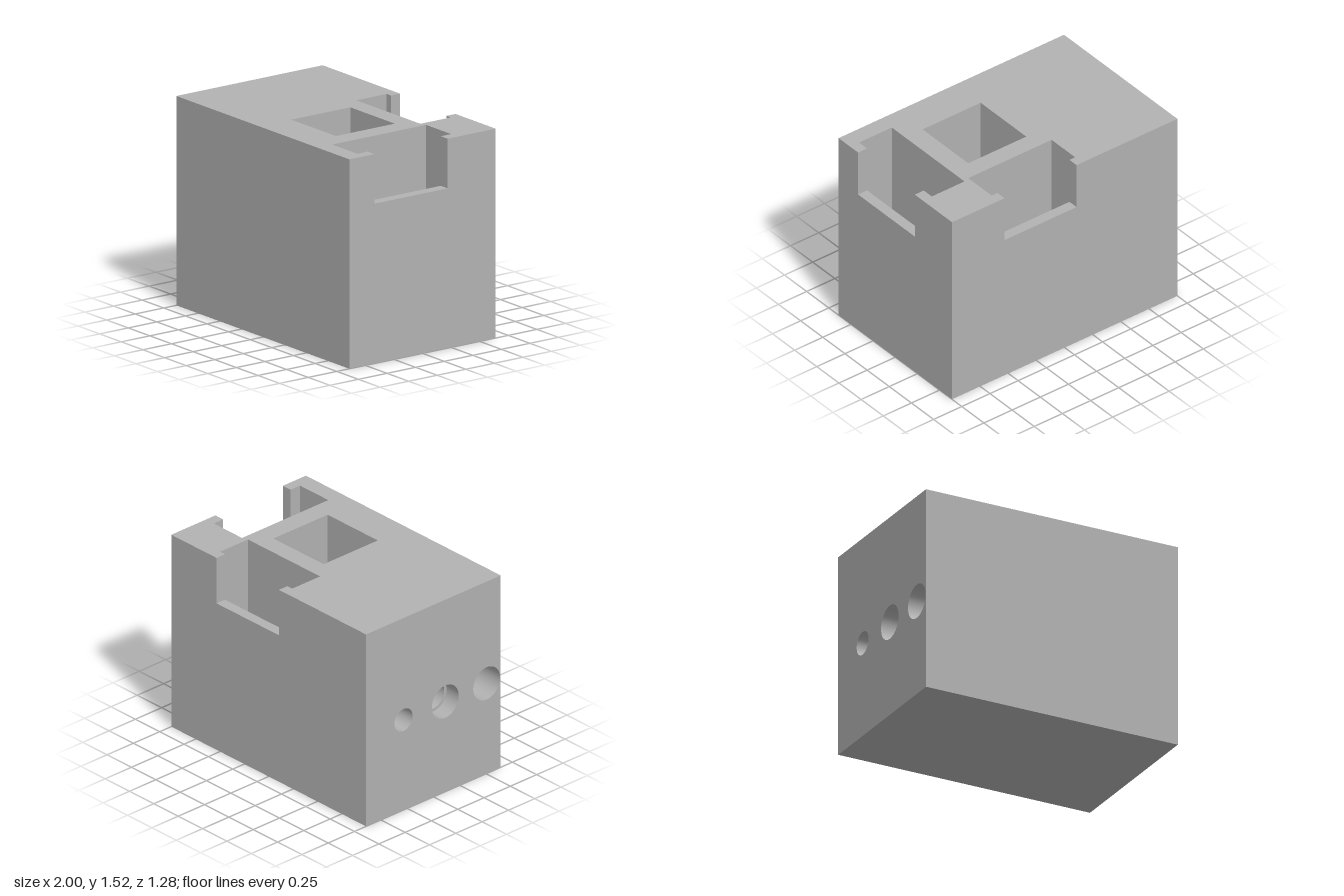
import * as THREE from 'three';

const W = 1, H = 1.52, D = 0.64;      // half width, height, half depth
const SILL = 1.16, FLOOR = 0.4, LIP = 0.08;
const HOLE_Y = 0.713;
const pocket = { x0: -0.04, x1: 0.475, z0: -0.155, z1: 0.36 };

export function createModel() {
  const model = new THREE.Group();
  const grey = new THREE.MeshStandardMaterial({ color: 0xb2b2b2, side: THREE.DoubleSide });

  function add(geometry, name, parent = model) {
    const mesh = new THREE.Mesh(geometry, grey);
    mesh.name = name;
    parent.add(mesh);
    return mesh;
  }

  // Flat panel: outline in (u, v), mapped into space, with optional cut-outs
  function panel(name, points, map, holes = [], parent = model) {
    const shape = new THREE.Shape(points.map(([u, v]) => new THREE.Vector2(u, v)));
    shape.holes.push(...holes);
    const g = new THREE.ShapeGeometry(shape, 24);
    const p = g.attributes.position;
    for (let i = 0; i < p.count; i++) p.setXYZ(i, ...map(p.getX(i), p.getY(i)));
    g.computeVertexNormals();
    return add(g, name, parent);
  }
  const rect = (a, b, c, d) => [[a, c], [b, c], [b, d], [a, d]];
  const circle = (u, v, r) => new THREE.Path().absarc(u, v, r, 0, Math.PI * 2, true);
  // Rectangle with a notch cut down from its top edge
  const notched = (a, b, y0, n0, n1) =>
    [[a, y0], [b, y0], [b, H], [n1, H], [n1, SILL], [n0, SILL], [n0, H], [a, H]];

  // Slots: u runs along the wall, v inward from the outer face
  const backSlot = { name: 'backSlot', u0: -0.155, u1: 0.585, n0: -0.105, n1: 0.535, v1: 0.345,
    map: (u, y, v) => [u, y, -D + v] };
  const sideSlot = { name: 'sideSlot', u0: -0.31, u1: 0.51, n0: -0.22, n1: 0.42, v1: 0.37,
    map: (u, y, v) => [W - v, y, u] };

  // Outer faces
  panel('bottomFace', rect(-W, W, -D, D), (u, v) => [u, 0, v]);
  panel('frontFace', rect(-W, W, 0, H), (u, v) => [u, v, D]);
  panel('backFace', notched(-W, W, 0, backSlot.n0, backSlot.n1), (u, v) => [u, v, -D]);
  panel('leftFace', notched(-D, D, 0, sideSlot.n0, sideSlot.n1), (u, v) => [W, v, u]);

  // Top face, its outline running through both open slots
  const slotOutline = ({ u0, u1, n0, n1, v1, map }) =>
    [[n0, 0], [n0, LIP], [u0, LIP], [u0, v1], [u1, v1], [u1, LIP], [n1, LIP], [n1, 0]]
      .map(([u, v]) => { const q = map(u, 0, v); return [q[0], q[2]]; });
  const square = new THREE.Path(rect(pocket.x0, pocket.x1, pocket.z0, pocket.z1)
    .map(([x, z]) => new THREE.Vector2(x, z)));
  panel('topFace', [[-W, -D], ...slotOutline(backSlot), [W, -D], ...slotOutline(sideSlot),
    [W, D], [-W, D]], (u, v) => [u, H, v], [square]);

  // Slot interiors with notch sill and cheeks
  for (const s of [backSlot, sideSlot]) {
    const g = new THREE.Group();
    g.name = s.name;
    model.add(g);
    const { u0, u1, n0, n1, v1, map } = s;
    panel('innerWall', rect(u0, u1, FLOOR, H), (u, y) => map(u, y, v1), [], g);
    panel('lipWall', notched(u0, u1, FLOOR, n0, n1), (u, y) => map(u, y, LIP), [], g);
    for (const e of [u0, u1])
      panel('endWall', rect(LIP, v1, FLOOR, H), (v, y) => map(e, y, v), [], g);
    panel('slotFloor', rect(u0, u1, LIP, v1), (u, v) => map(u, FLOOR, v), [], g);
    for (const n of [n0, n1])
      panel('notchCheek', rect(0, LIP, SILL, H), (v, y) => map(n, y, v), [], g);
    panel('notchSill', rect(n0, n1, 0, LIP), (u, v) => map(u, SILL, v), [], g);
  }

  // Bores in the right face; the middle one steps down and runs into the pocket
  const bores = [
    { z: -0.284, r: 0.087, end: -0.4 },
    { z: 0.113, r: 0.128, end: -0.875, inner: 0.105 },
    { z: 0.506, r: 0.128, end: -0.4 },
  ];
  panel('rightFace', rect(-D, D, 0, H), (u, v) => [-W, v, u],
    bores.map(b => circle(b.z, HOLE_Y, b.r)));
  function tube(name, r, x0, x1, z) {
    const g = new THREE.CylinderGeometry(r, r, x1 - x0, 48, 1, true);
    g.rotateZ(Math.PI / 2).translate((x0 + x1) / 2, HOLE_Y, z);
    add(g, name);
  }
  for (const { z, r, end, inner } of bores) {
    tube('bore', r, -W, end, z);
    const cap = new THREE.RingGeometry(inner ?? 0, r, 48);
    add(cap.rotateY(-Math.PI / 2).translate(end, HOLE_Y, z), 'boreEnd');
    if (inner) tube('innerBore', inner, end, pocket.x0, z);
  }

  // Central square pocket
  const { x0, x1, z0, z1 } = pocket;
  panel('pocketFloor', rect(x0, x1, z0, z1), (u, v) => [u, FLOOR, v]);
  for (const z of [z0, z1]) panel('pocketWall', rect(x0, x1, FLOOR, H), (u, y) => [u, y, z]);
  panel('pocketWall', rect(z0, z1, FLOOR, H), (u, y) => [x1, y, u]);
  panel('pocketBoreWall', rect(z0, z1, FLOOR, H), (u, y) => [x0, y, u],
    [circle(bores[1].z, HOLE_Y, bores[1].inner)]);

  return model;
}
